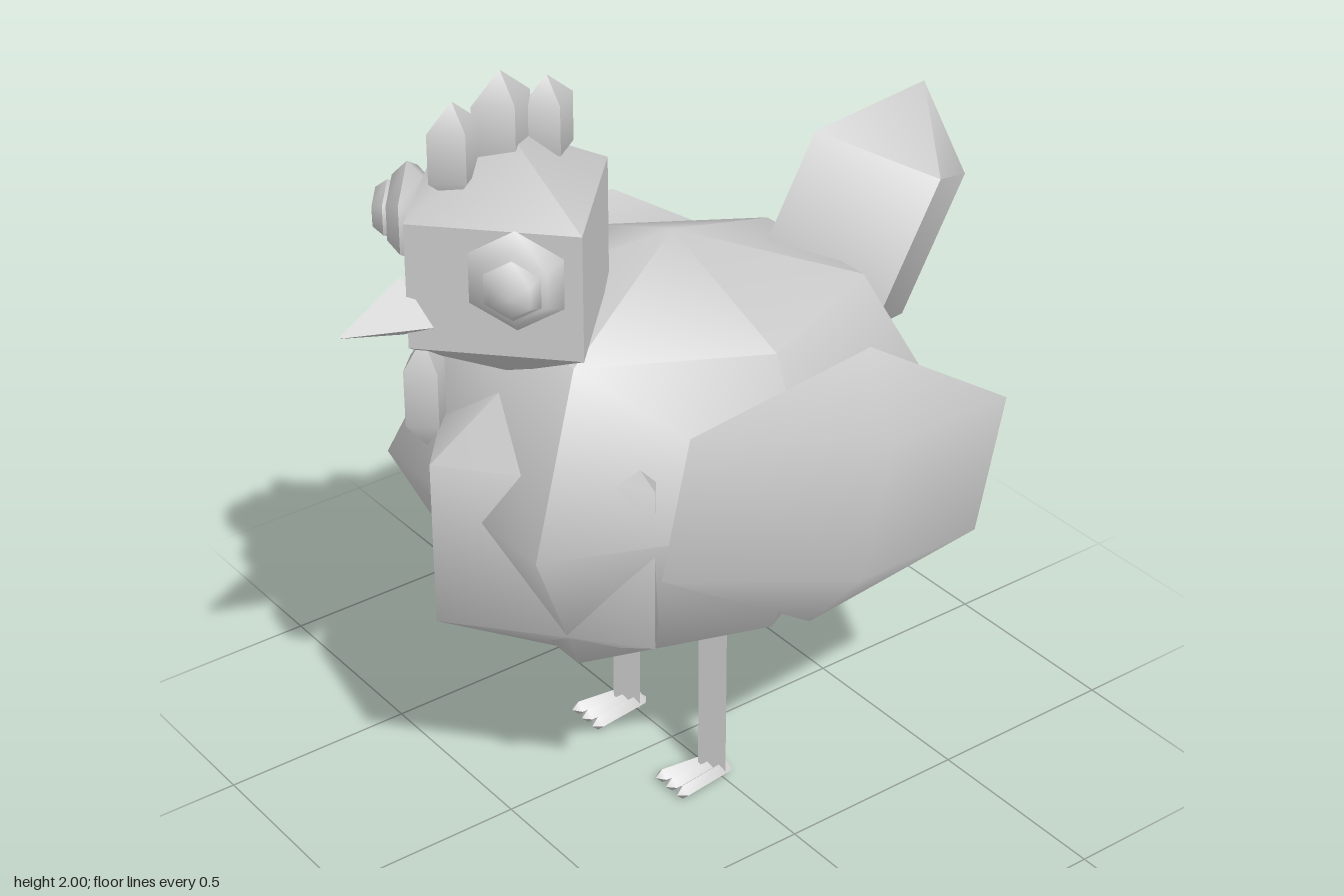
import * as THREE from 'three';
import { toCreasedNormals } from 'three/addons/utils/BufferGeometryUtils.js';

const CREASE = 0.9;

export function createModel() {
  const model = new THREE.Group();
  model.name = 'bird';
  const grey = new THREE.MeshStandardMaterial({ color: 0xcccccc });
  grey.name = 'pale grey';

  function add(name, geometry) {
    const mesh = new THREE.Mesh(toCreasedNormals(geometry, CREASE), grey);
    mesh.name = name;
    model.add(mesh);
    return mesh;
  }

  // Coarse sphere stretched along three axis vectors; the poles lie on the y axis
  function gem(name, centre, xAxis, yAxis, zAxis, sides = 4, rows = 3) {
    const [x, y, z] = [xAxis, yAxis, zAxis].map((a) => new THREE.Vector3(...a));
    const matrix = new THREE.Matrix4().makeBasis(x, y, z).setPosition(...centre);
    return add(name, new THREE.SphereGeometry(1, sides, rows).applyMatrix4(matrix));
  }

  // Upright gem given by its ring half-widths and pole half-height
  function uprightGem(name, centre, rx, ry, rz) {
    const k = 1 / Math.sin(Math.PI / 3);
    return gem(name, centre, [rx * k, 0, 0], [0, ry, 0], [0, 0, rz * k]);
  }

  // Body: six-sided egg, a little fuller toward the front
  const body = new THREE.SphereGeometry(1, 6, 4).scale(0.56, 0.53, 0.71);
  const p = body.attributes.position;
  for (let i = 0; i < p.count; i++) {
    const grow = Math.abs(p.getX(i)) < 1e-6 ? 1 : 1 + 0.16 * p.getZ(i);
    p.setXY(i, p.getX(i) * grow, p.getY(i) * grow);
  }
  add('body', body.translate(0, 0.935, 0));

  uprightGem('chest', [0, 0.86, 0.35], 0.4, 0.43, 0.342);
  uprightGem('head', [0, 1.55, 0.457], 0.285, 0.31, 0.275);
  uprightGem('wattle', [0, 1.27, 0.695], 0.055, 0.14, 0.055);

  // Comb
  uprightGem('combFront', [0, 1.84, 0.595], 0.05, 0.12, 0.068);
  uprightGem('combMiddle', [0, 1.865, 0.468], 0.055, 0.135, 0.078);
  uprightGem('combBack', [0, 1.835, 0.345], 0.05, 0.12, 0.07);

  // Beak: three-sided cone pointing forward
  const beak = new THREE.ConeGeometry(0.085, 0.195, 3);
  beak.rotateY(Math.PI / 2).rotateX(Math.PI / 2).translate(0, 1.48, 0.815);
  add('beak', beak);

  // Tail: leaning diamond
  gem('tail', [0, 1.295, -0.577], [0.208, 0, 0], [0, 0.335, -0.19], [0, 0.15, 0.283]);

  for (const s of [1, -1]) {
    const side = s > 0 ? 'left' : 'right';

    gem(side + 'Wing', [s * 0.5, 0.965, -0.11], [0.156, 0, 0], [0, 0.345, -0.08], [0, 0.133, 0.55]);

    // Eye and pupil: flattened six-sided domes facing diagonally outward
    const d = Math.SQRT1_2;
    const eye = (name, centre, r, depth) =>
      gem(name, centre, [0, r, 0], [s * d * depth, 0, d * depth], [d * r, 0, -s * d * r], 6, 4);
    eye(side + 'Eye', [s * 0.213, 1.608, 0.583], 0.122, 0.05);
    eye(side + 'Pupil', [s * 0.246, 1.608, 0.616], 0.073, 0.04);

    // Leg: three-sided post
    const leg = new THREE.CylinderGeometry(0.043, 0.043, 0.46, 3);
    add(side + 'Leg', leg.rotateY(Math.PI / 2).translate(s * 0.18, 0.24, 0));

    // Toes: pointed bars, slightly fanned
    for (const t of [-1, 0, 1]) {
      const toe = new THREE.CapsuleGeometry(0.02, 0.15, 1, 4).rotateX(Math.PI / 2);
      toe.translate(0, 0, 0.06).rotateY(t * 0.12);
      add(side + 'Toe', toe.translate(s * 0.18 + t * 0.026, 0.02, 0));
    }
  }
  return model;
}
